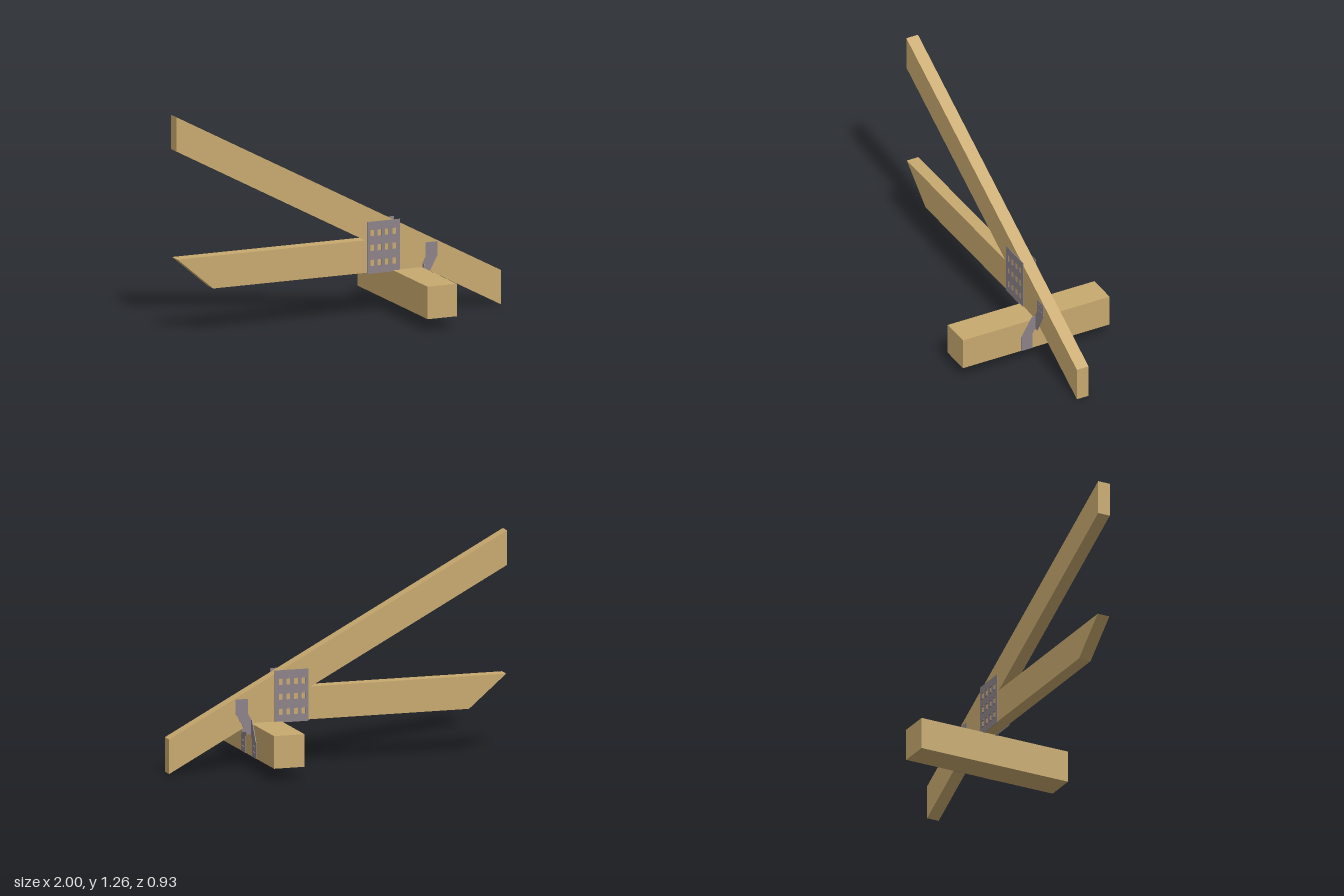
import * as THREE from 'three';

const wood = new THREE.MeshStandardMaterial({ color: 0xc8a96e });
wood.name = 'wood';
const steel = new THREE.MeshStandardMaterial({ color: 0x8c8288 });
steel.name = 'galvanised steel';

const FRONT = 0.005, BACK = -0.069; // faces of the rafter and joist
const GAUGE = 0.003;                // sheet metal thickness
const BEAM_X = 0.515;               // outer face of the wall beam

function makeShape(points, holes = []) {
  const shape = new THREE.Shape(points.map(([x, y]) => new THREE.Vector2(x, y)));
  shape.holes.push(...holes);
  return shape;
}

function addMesh(parent, name, geometry, material) {
  const mesh = new THREE.Mesh(geometry, material);
  mesh.name = name;
  parent.add(mesh);
  return mesh;
}

// Flat profile in x/y given thickness from z0 to z1
function slab(shape, z0, z1) {
  return new THREE.ExtrudeGeometry(shape, { depth: z1 - z0, bevelEnabled: false }).translate(0, 0, z0);
}

// Perforated plate with punched teeth
function nailPlate(name, z) {
  const group = new THREE.Group();
  group.name = name;
  const holes = [];
  for (const x of [0.206, 0.25, 0.296, 0.341]) {
    for (const y of [0.314, 0.4, 0.485]) {
      const w = 0.011, h = 0.019;
      holes.push(new THREE.Path([
        new THREE.Vector2(x - w, y - h), new THREE.Vector2(x - w, y + h),
        new THREE.Vector2(x + w, y + h), new THREE.Vector2(x + w, y - h),
      ]));
      for (const side of [-1, 1]) {
        const tooth = new THREE.BoxGeometry(w * 2, 0.003, 0.008);
        addMesh(group, 'tooth', tooth.translate(x, y + side * h, z - 0.002), steel);
      }
    }
  }
  const outline = [[0.175, 0.253], [0.376, 0.253], [0.376, 0.551], [0.175, 0.551]];
  addMesh(group, 'perforatedPlate', slab(makeShape(outline, holes), z, z + GAUGE), steel);
  return group;
}

// Bent tie: one leg on the rafter side, one on the beam face
function rafterTie(name, side) {
  const group = new THREE.Group();
  group.name = name;
  const face = side > 0 ? FRONT : BACK;
  const toZ = (d) => face + side * d;

  const rafterLeg = makeShape([
    [0.515, 0.197], [0.54, 0.197], [0.607, 0.32], [0.607, 0.4],
    [0.535, 0.4], [0.535, 0.318], [0.515, 0.28],
  ]);
  const z0 = side > 0 ? FRONT : BACK - GAUGE;
  addMesh(group, 'rafterLeg', slab(rafterLeg, z0, z0 + GAUGE), steel);

  const beamLeg = makeShape([
    [0, 0.197], [0.022, 0.17], [0.022, 0.073], [0.092, 0.073],
    [0.092, 0.163], [0.022, 0.281], [0, 0.281],
  ].map(([d, y]) => [-toZ(d), y]));
  addMesh(group, 'beamLeg', slab(beamLeg, 0, GAUGE).rotateY(Math.PI / 2).translate(BEAM_X, 0, 0), steel);

  // Four nail heads on each leg
  for (const i of [0, 1]) {
    for (const j of [0, 1]) {
      const head = () => new THREE.CylinderGeometry(0.006, 0.006, 0.003, 10);
      addMesh(group, 'rafterNail', head().rotateX(Math.PI / 2)
        .translate(0.559 + i * 0.026, 0.343 + j * 0.037, toZ(GAUGE + 0.001)), steel);
      addMesh(group, 'beamNail', head().rotateZ(Math.PI / 2)
        .translate(BEAM_X + GAUGE + 0.001, 0.104 + j * 0.034, toZ(0.045 + i * 0.028)), steel);
    }
  }
  return group;
}

export function createModel() {
  const model = new THREE.Group();
  model.name = 'rafterJoint';

  // Timber members
  const rafter = makeShape([[-1, 1.067], [1, 0], [1, 0.197], [-1, 1.264]]);
  addMesh(model, 'rafter', slab(rafter, BACK, FRONT), wood);

  const joist = makeShape([[-0.995, 0.447], [-0.775, 0.26], [0.513, 0.26], [0.162, 0.447]]);
  addMesh(model, 'ceilingJoist', slab(joist, BACK, FRONT), wood);

  const beam = new THREE.BoxGeometry(0.18, 0.186, 0.934);
  addMesh(model, 'wallBeam', beam.translate(BEAM_X - 0.09, 0.166, 0), wood);

  // Metal connectors
  model.add(nailPlate('frontNailPlate', FRONT));
  model.add(nailPlate('backNailPlate', BACK - GAUGE));
  model.add(rafterTie('frontTie', 1));
  model.add(rafterTie('backTie', -1));

  return model;
}
